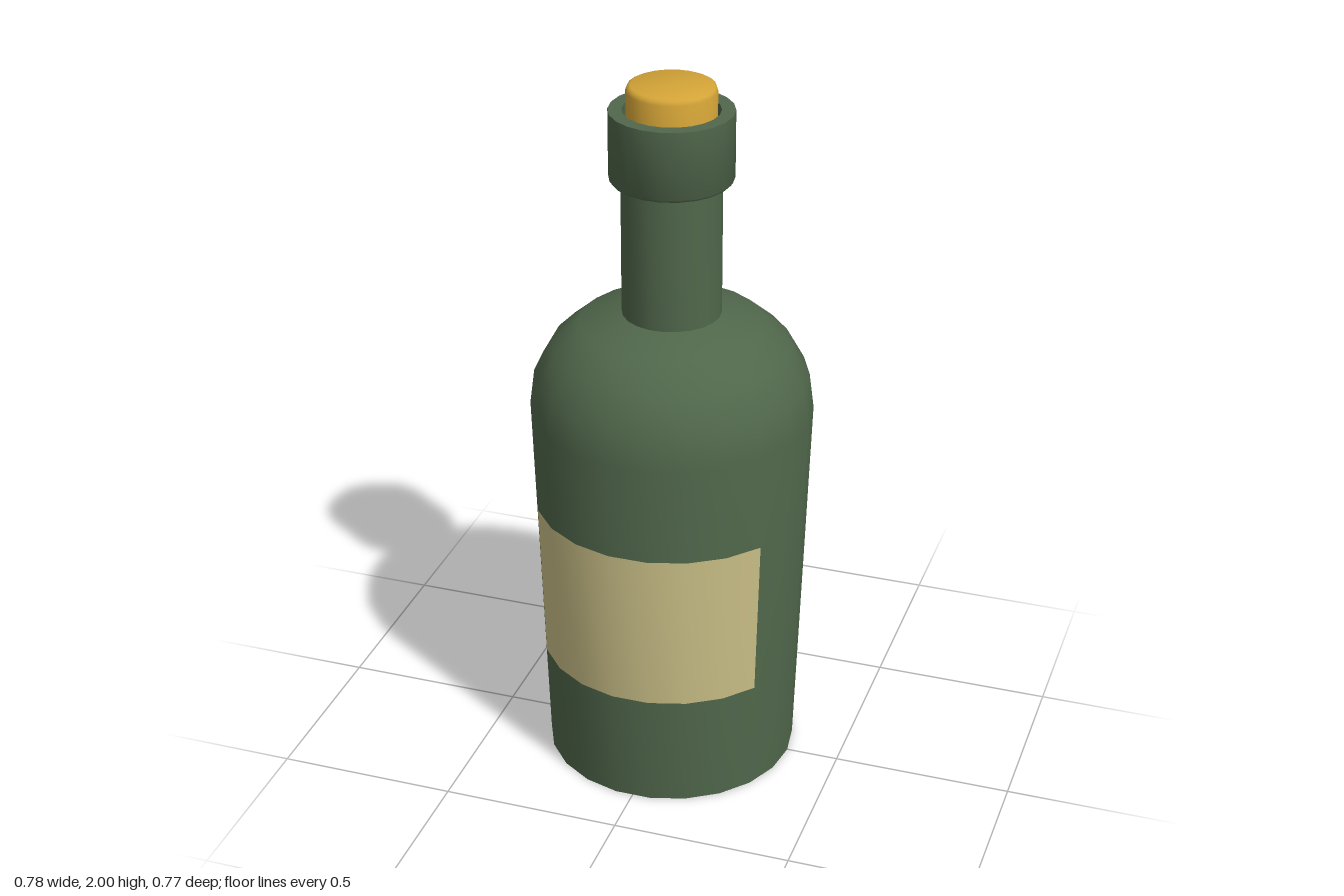
import * as THREE from 'three';
import { toCreasedNormals } from 'three/addons/utils/BufferGeometryUtils.js';

const SIDES = 22;
const STEP = (Math.PI * 2) / SIDES;

// Turns a [radius, height] profile around y, keeping hard edges sharp.
function turned(name, profile, material, start = Math.PI / 2, sides = SIDES) {
  const points = profile.map(([r, y]) => new THREE.Vector2(r, y));
  const geometry = new THREE.LatheGeometry(points, sides, start, sides * STEP);
  const mesh = new THREE.Mesh(toCreasedNormals(geometry, 0.85), material);
  mesh.name = name;
  return mesh;
}

export function createModel() {
  const glass = new THREE.MeshStandardMaterial({ color: 0x50674b });
  const paper = new THREE.MeshStandardMaterial({ color: 0xcabf87, side: THREE.DoubleSide });
  const corkColor = new THREE.MeshStandardMaterial({ color: 0xd4a437 });

  const bottle = new THREE.Group();
  bottle.name = 'bottle';

  // Tapered body with rounded shoulder
  bottle.add(turned('body', [
    [0, 0], [0.352, 0], [0.388, 1.07], [0.375, 1.17],
    [0.325, 1.26], [0.25, 1.325], [0.13, 1.357],
  ], glass));

  // Straight neck
  bottle.add(turned('neck', [[0.135, 1.34], [0.135, 1.76]], glass));

  // Collar with a recessed mouth
  bottle.add(turned('collar', [
    [0.13, 1.738], [0.161, 1.738], [0.167, 1.746], [0.167, 1.932],
    [0.13, 1.932], [0.13, 1.8], [0, 1.8],
  ], glass));

  // Stopper with softened top edge
  bottle.add(turned('cork', [
    [0, 1.79], [0.12, 1.79], [0.12, 1.985], [0.116, 1.996], [0.108, 2], [0, 2],
  ], corkColor));

  // Label wrapped over the seven front sides of the body
  const radiusAt = (y) => 0.352 + (0.036 * y) / 1.07 + 0.0025;
  bottle.add(turned('label', [0.33, 0.79].map((y) => [radiusAt(y), y]), paper, -3.5 * STEP, 7));

  return bottle;
}
